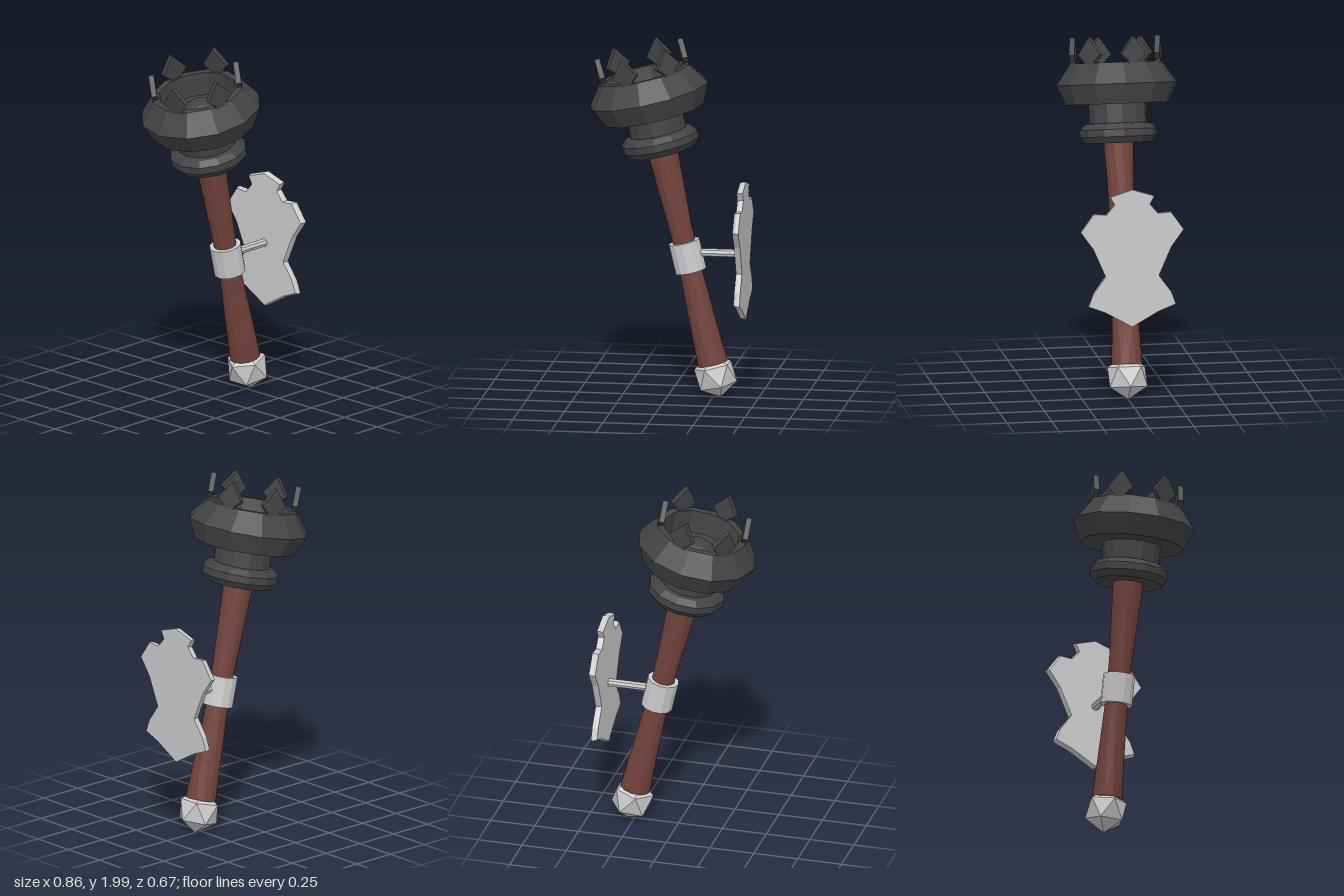
import * as THREE from 'three';

const material = (color) => new THREE.MeshStandardMaterial({ color, flatShading: true });

function addPart(parent, name, geometry, mat) {
  const mesh = new THREE.Mesh(geometry, mat);
  mesh.name = name;
  parent.add(mesh);
  return mesh;
}

const points = (list) => list.map(([x, y]) => new THREE.Vector2(x, y));

// Grip that narrows toward the middle and twists along its length
function twistedGrip(bottom, top) {
  const length = top - bottom;
  const geo = new THREE.CylinderGeometry(1, 1, length, 12, 6);
  const pos = geo.attributes.position;
  for (let i = 0; i < pos.count; i++) {
    const u = pos.getY(i) / (length / 2);
    const r = 0.06 + 0.025 * Math.pow(Math.abs(u), 1.2);
    const a = 0.5 * u, c = Math.cos(a) * r, s = Math.sin(a) * r;
    const x = pos.getX(i), z = pos.getZ(i);
    pos.setX(i, x * c - z * s);
    pos.setZ(i, x * s + z * c);
  }
  geo.translate(0, (bottom + top) / 2, 0);
  geo.computeVertexNormals();
  return geo;
}

// Symmetric outline from its right half, listed top to bottom
function mirroredShape(half) {
  const left = half.filter(([x]) => x > 0).reverse().map(([x, y]) => [-x, y]);
  return new THREE.Shape(points([...half, ...left]));
}

export function createModel() {
  const model = new THREE.Group();
  model.name = 'mace';
  const grey = material(0xcccccc);
  const dark = material(0x434343);
  const wood = material(0x73433c);

  // Everything on the shaft axis leans together
  const shaft = new THREE.Group();
  shaft.name = 'shaft';
  shaft.position.set(0.262, 0.13, 0);
  shaft.rotation.z = 0.231;
  model.add(shaft);

  // Pommel, standing on one of its points
  const pommel = new THREE.IcosahedronGeometry(0.123, 0);
  pommel.rotateZ(Math.PI / 2 - Math.atan2((1 + Math.sqrt(5)) / 2, 1));
  addPart(shaft, 'pommel', pommel, grey);

  addPart(shaft, 'handle', twistedGrip(0.07, 1.3), wood);

  const clamp = addPart(shaft, 'clamp', new THREE.CylinderGeometry(0.088, 0.088, 0.168, 12), grey);
  clamp.position.y = 0.683;

  // Head: collar, neck, flared bowl, hollow and inner dome
  const profile = points([
    [0, 1.285], [0.185, 1.285], [0.215, 1.32], [0.215, 1.36], [0.185, 1.39],
    [0.16, 1.395], [0.16, 1.5], [0.285, 1.5], [0.336, 1.61], [0.252, 1.728],
    [0.215, 1.728], [0.2, 1.6], [0.11, 1.6], [0.095, 1.635], [0.055, 1.66], [0, 1.67],
  ]);
  addPart(shaft, 'head', new THREE.LatheGeometry(profile, 12), dark);

  // Crown of arrow-shaped spikes around the rim
  const spikeShape = mirroredShape([[0, 0.142], [0.074, 0.045], [0.034, 0.008], [0.04, -0.03]]);
  const spikeGeo = new THREE.ExtrudeGeometry(spikeShape, { depth: 0.03, bevelEnabled: false });
  spikeGeo.translate(0, 1.727, 0.22);
  for (let i = 0; i < 6; i++) {
    const spike = addPart(shaft, 'crownSpike', spikeGeo, dark);
    spike.rotation.y = Math.PI / 2 + THREE.MathUtils.degToRad(15 + 60 * i);
  }

  // Rod joining the clamp to the plate
  const rod = new THREE.CylinderGeometry(0.023, 0.023, 0.29, 8);
  rod.rotateZ(Math.PI / 2);
  addPart(model, 'rod', rod, grey).position.set(0.265, 0.818, 0);

  // Upright shield plate, slightly smaller on its inner face
  const outline = mirroredShape([
    [0, 1.222], [0.122, 1.183], [0.098, 1.138], [0.143, 1.085], [0.215, 1.09],
    [0.286, 0.99], [0.217, 0.894], [0.148, 0.735], [0.217, 0.64],
    [0.243, 0.571], [0.148, 0.534], [0, 0.45],
  ]);
  const plate = new THREE.ExtrudeGeometry(outline, { depth: 0.034, steps: 2, bevelEnabled: false });
  const pos = plate.attributes.position;
  for (let i = 0; i < pos.count; i++) {
    if (pos.getZ(i) > 0.001) continue;
    pos.setX(i, pos.getX(i) * 0.97);
    pos.setY(i, 0.836 + (pos.getY(i) - 0.836) * 0.98);
  }
  plate.rotateY(Math.PI / 2);
  plate.computeVertexNormals();
  addPart(model, 'shieldPlate', plate, grey).position.x = 0.397;

  return model;
}
